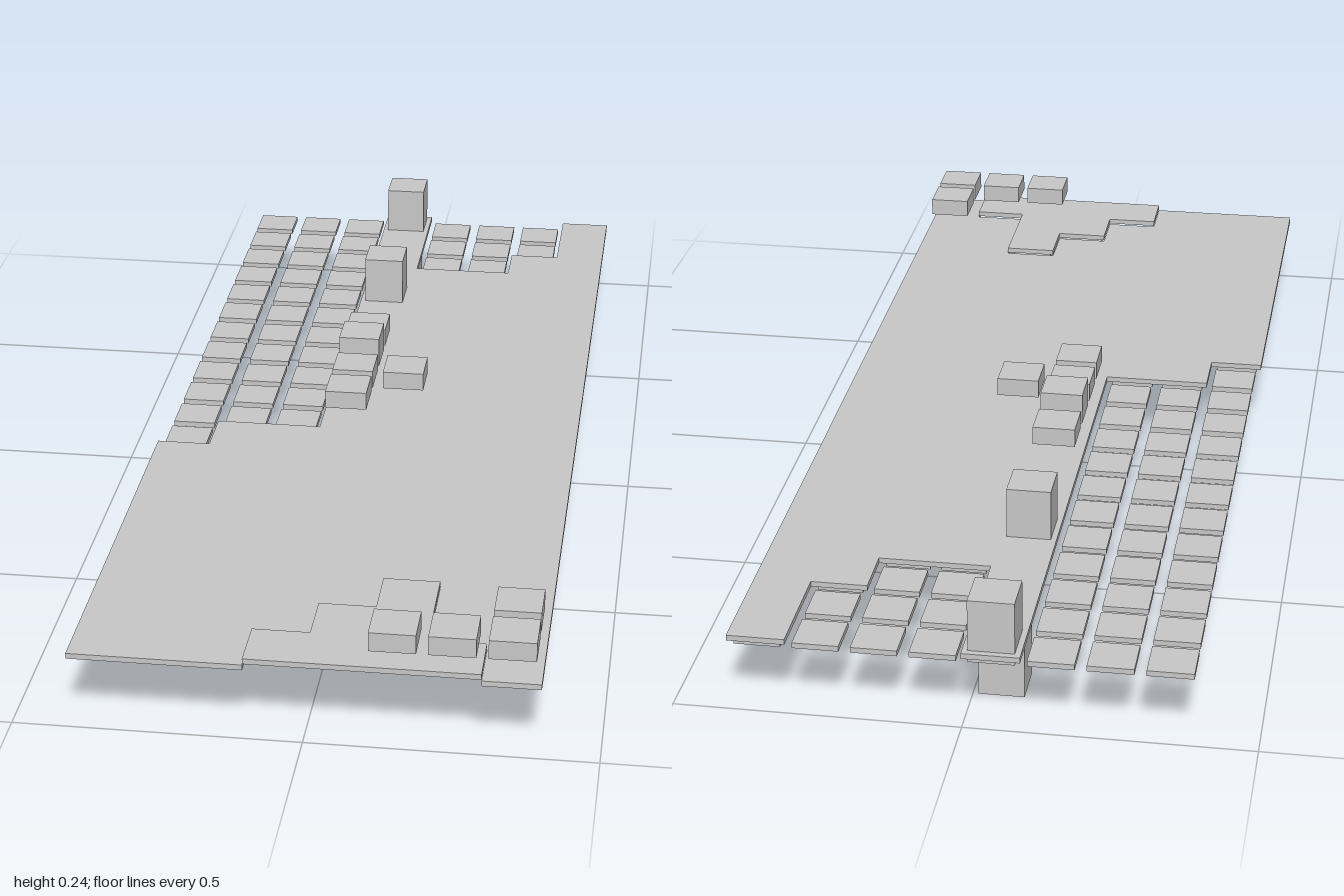
import * as THREE from 'three';

export function createModel() {
  const model = new THREE.Group();
  const grey = new THREE.MeshStandardMaterial({ color: 0xc8c8c8 });
  grey.name = 'light grey';

  // Flat slab from an outline of [x, z] corners
  function slab(name, outline, y0, y1) {
    const shape = new THREE.Shape(outline.map(([x, z]) => new THREE.Vector2(x, -z)));
    const geo = new THREE.ExtrudeGeometry(shape, { depth: y1 - y0, bevelEnabled: false });
    geo.rotateX(-Math.PI / 2);
    const mesh = new THREE.Mesh(geo, grey);
    mesh.position.y = y0;
    mesh.name = name;
    model.add(mesh);
  }

  // Square block filling one grid cell, with a small gap around it
  function block(name, x, z, y0, y1, parent = model) {
    const mesh = new THREE.Mesh(new THREE.BoxGeometry(0.08, y1 - y0, 0.08), grey);
    mesh.position.set(x, (y0 + y1) / 2, z);
    mesh.name = name;
    parent.add(mesh);
  }

  // Stepped edge shared by the main and the raised slab
  const steps = [
    [-0.1, 1], [-0.1, 0.9], [0, 0.9], [0, 0.8], [0.1, 0.8],
    [0.1, 0.7], [0.2, 0.7], [0.2, 0.9], [0.3, 0.9], [0.3, 1],
  ];

  // Main slab with stepped cut-outs at the front and back
  slab('mainSlab', [
    [-0.4, 1], ...steps, [0.4, 1], [0.4, -1], [0.3, -1], [0.3, -0.8],
    [0.2, -0.8], [0.2, -0.7], [0, -0.7], [0, -1], [-0.1, -1],
    [-0.1, 0.1], [-0.3, 0.1], [-0.3, 0.2], [-0.4, 0.2],
  ], 0.134, 0.144);

  // Raised slab over the front cut-out
  slab('raisedSlab', steps, 0.146, 0.156);

  // Grid of thin tiles below the slabs
  const tiles = new THREE.Group();
  tiles.name = 'lowerTiles';
  model.add(tiles);
  for (let col = 0; col < 8; col++) {
    for (let row = 0; row < 19; row++) {
      if (col === 3 && row === 1) continue; // taken by the hanging block
      block('lowerTile', -0.35 + col * 0.1, -0.95 + row * 0.1, 0.123, 0.133, tiles);
    }
  }

  // Block hanging down to the ground
  block('hangingBlock', -0.05, -0.85, 0, 0.133);

  // Tall blocks standing on the main slab
  for (const z of [-0.95, -0.55]) block('tallBlock', -0.05, z, 0.145, 0.24);

  // Floating blocks
  block('floatingTallBlock', -0.05, -0.15, 0.181, 0.24);
  const floating = [
    [-0.05, -0.25], [-0.05, -0.05], [-0.05, 0.05], [0.05, -0.05],
    [0.35, 0.85], [0.15, 0.95], [0.25, 0.95], [0.35, 0.95],
  ];
  for (const [x, z] of floating) block('floatingBlock', x, z, 0.181, 0.216);

  return model;
}
